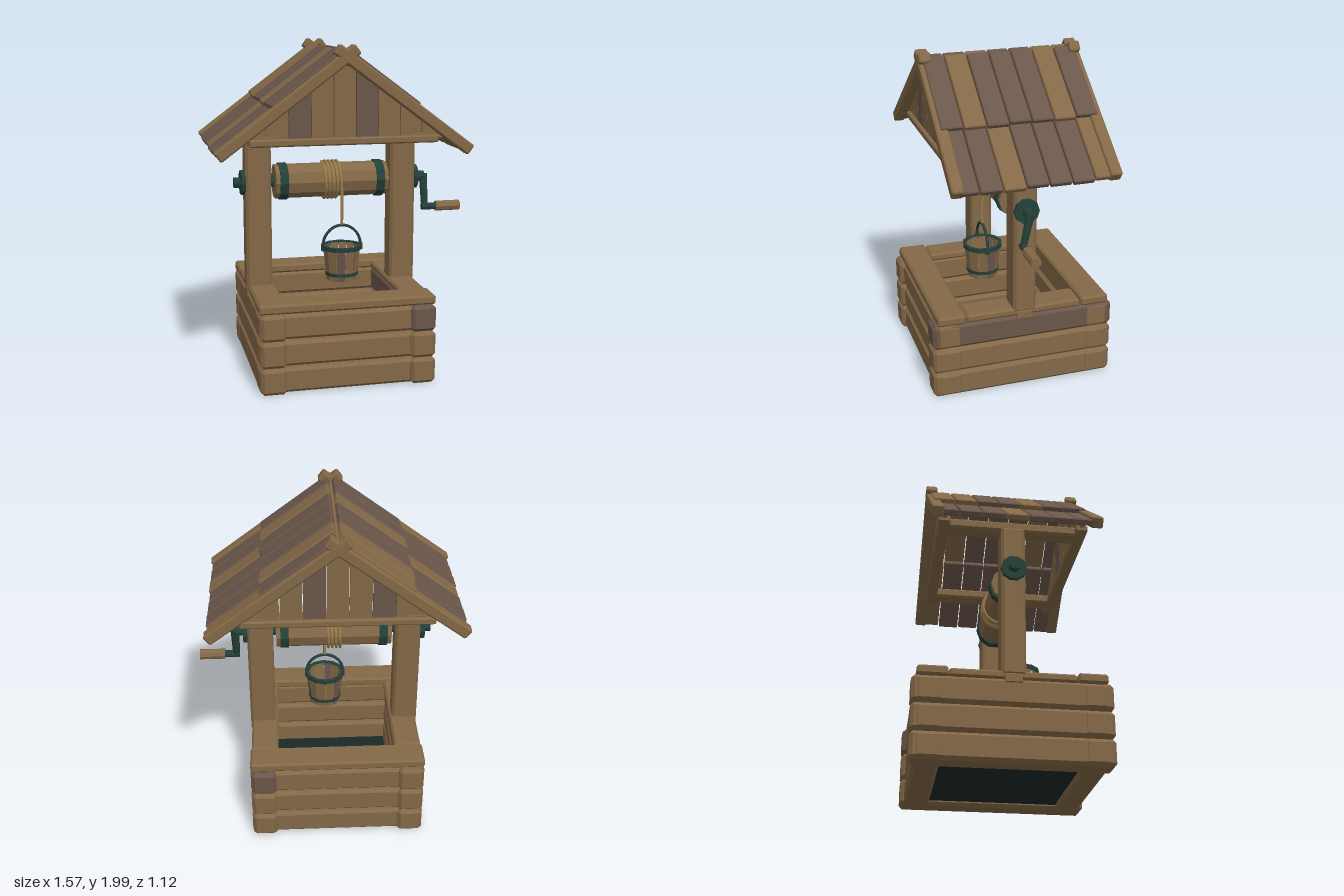
import * as THREE from 'three';
import { ConvexGeometry } from 'three/addons/geometries/ConvexGeometry.js';

const mat = (name, color, extra = {}) => {
  const m = new THREE.MeshStandardMaterial({ color, flatShading: true, ...extra });
  m.name = name;
  return m;
};

export function createModel() {
  const wood = mat('wood', 0x836846);
  const darkWood = mat('darkWood', 0x6a564a);
  const iron = mat('iron', 0x24403a);
  const rope = mat('rope', 0x9a7b4c);
  const water = mat('water', 0x1a2826, { side: THREE.DoubleSide });

  const model = new THREE.Group();
  model.name = 'well';
  const well = new THREE.Group();
  well.name = 'wellBody';
  well.position.x = -0.04;
  model.add(well);

  const add = (parent, name, geo, material, pos = [0, 0, 0]) => {
    const m = new THREE.Mesh(geo, material);
    m.name = name;
    m.position.set(...pos);
    parent.add(m);
    return m;
  };

  // Beam with bevelled edges, given by its ranges on x, y and z
  const beam = (parent, name, [x0, x1], [y0, y1], [z0, z1], material = wood, c = 0.012) => {
    const h = [(x1 - x0) / 2, (y1 - y0) / 2, (z1 - z0) / 2];
    const pts = [];
    for (const sx of [-1, 1]) for (const sy of [-1, 1]) for (const sz of [-1, 1])
      for (let k = 0; k < 3; k++) {
        const s = [sx, sy, sz];
        pts.push(new THREE.Vector3(...h.map((v, i) => s[i] * (i === k ? v : v - c))));
      }
    return add(parent, name, new ConvexGeometry(pts), material,
      [(x0 + x1) / 2, (y0 + y1) / 2, (z0 + z1) / 2]);
  };

  // Cylinder lying along x
  const rod = (parent, name, x0, x1, r, sides, material, y, z = 0) => {
    const g = new THREE.CylinderGeometry(r, r, x1 - x0, sides);
    g.rotateX(0).rotateZ(-Math.PI / 2);
    return add(parent, name, g, material, [(x0 + x1) / 2, y, z]);
  };

  // Log walls, three courses
  for (let i = 0; i < 3; i++) {
    const y = [i * 0.16 + 0.003, i * 0.16 + 0.16];
    for (const s of [-1, 1]) {
      const zr = s > 0 ? [0.385, 0.535] : [-0.535, -0.385];
      const xr = s > 0 ? [0.37, 0.521] : [-0.521, -0.37];
      beam(well, 'frontBackLog', [-0.525, 0.525], [y[0] + 0.004, y[1] - 0.006], zr, wood, 0.018);
      beam(well, 'sideLog', xr, y, [-0.56, 0.56], i === 2 && s > 0 ? darkWood : wood, 0.02);
    }
  }
  const pool = new THREE.PlaneGeometry(0.78, 0.8).rotateX(-Math.PI / 2);
  add(well, 'water', pool, water, [0, 0.03, 0]);

  // Rim planks, posts and the ties above them
  for (const s of [-1, 1]) {
    const span = (a, b) => (s > 0 ? [a, b] : [-b, -a]);
    beam(well, 'rimPlank', [-0.525, 0.525], [0.478, 0.535], span(0.36, 0.532));
    beam(well, 'sideRimPlank', span(0.355, 0.518), [0.478, 0.527], [-0.356, 0.356]);
    beam(well, 'post', span(0.37, 0.526), [0.5, 1.435], [-0.07, 0.07], wood, 0.016);
    beam(well, 'postFoot', span(0.38, 0.526), [0.455, 0.51], [-0.05, 0.05], wood, 0.005);
    beam(well, 'tieBeam', span(0.39, 0.5), [1.425, 1.485], [-0.42, 0.42]);
    beam(well, 'gableSill', [-0.553, 0.553], [1.425, 1.468], span(0.37, 0.44), wood, 0.008);
  }

  // Gable boards cut to the roof line
  const roofLine = x => 1.905 - 0.743 * Math.abs(x);
  const cuts = [-0.58, -0.455, -0.325, -0.195, -0.065, 0.065, 0.195, 0.325, 0.455, 0.58];
  for (const s of [-1, 1]) {
    for (let i = 0; i < 9; i++) {
      const a = cuts[i] + 0.002, b = cuts[i + 1] - 0.002;
      const shape = new THREE.Shape();
      shape.moveTo(a, 1.45);
      shape.lineTo(b, 1.45);
      shape.lineTo(b, roofLine(b));
      if (a < 0 && b > 0) shape.lineTo(0, roofLine(0));
      shape.lineTo(a, roofLine(a));
      const g = new THREE.ExtrudeGeometry(shape, { depth: 0.025, bevelEnabled: false });
      add(well, 'gableBoard', g, i === 2 || i === 5 ? darkWood : wood, [0, 0, s * 0.405 - 0.0125]);
    }
  }

  // Roof slopes: two overlapping rows of planks and a barge board at each end
  // Letters run from the back to the front, d for dark and w for light
  const slopes = [
    { turn: 0, upper: 'dwdddwd', lower: 'wdddwdd'.replace('wddd', 'wddd') },
    { turn: Math.PI, upper: 'wwddwdd', lower: 'dddwddd' },
  ];
  slopes.forEach(({ turn, upper, lower }, side) => {
    const half = new THREE.Group();
    half.name = side ? 'leftRoof' : 'rightRoof';
    half.rotation.y = turn;
    well.add(half);
    const slope = new THREE.Group();
    slope.name = 'roofSlope';
    slope.position.y = 1.966;
    slope.rotation.z = -0.639;
    half.add(slope);
    for (let i = 0; i < 7; i++) {
      const z = (i - 3) * 0.133 * (side ? -1 : 1);
      const zr = [z - 0.063, z + 0.063];
      const shift = ((i * 5) % 7 - 3) * 0.002;
      const tone = c => (c === 'd' ? darkWood : wood);
      beam(slope, 'upperRoofPlank', [0.02, 0.535 + shift], [-0.022, 0.012], zr, tone(upper[i]), 0.006);
      beam(slope, 'lowerRoofPlank', [0.46, 0.942 + shift], [-0.055, -0.018], zr, tone(lower[i]), 0.006);
    }
    const w = side ? 0.001 : 0;
    for (const zr of [[0.42 + w, 0.49 - w], [-0.49 + w, -0.42 - w]])
      beam(slope, 'bargeBoard', [-0.05, 0.94], [-0.066, 0], zr, wood, 0.008);
  });
  beam(well, 'ridgeBeam', [-0.03, 0.03], [1.87, 1.935], [-0.45, 0.45]);

  // Winding drum, axle and flanges
  const axisY = 1.155;
  rod(well, 'drum', -0.345, 0.35, 0.105, 10, wood, axisY);
  rod(well, 'axle', -0.59, 0.6, 0.032, 10, iron, axisY);
  for (const [a, b] of [[-0.32, -0.27], [0.275, 0.325]])
    rod(well, 'drumBand', a, b, 0.114, 10, iron, axisY);
  for (const s of [-1, 1])
    rod(well, 'axleFlange', s * 0.537 - 0.013, s * 0.537 + 0.013, 0.075, 10, iron, axisY);

  // Crank
  const arm = new THREE.CylinderGeometry(0.021, 0.027, 0.215, 8);
  const crankArm = add(well, 'crankArm', arm, iron, [0.6, 1.062, 0.02]);
  crankArm.rotation.x = Math.PI - 0.2;
  rod(well, 'crankPin', 0.58, 0.68, 0.022, 8, iron, 0.966, 0.04);
  rod(well, 'crankHandle', 0.67, 0.825, 0.032, 8, wood, 0.966, 0.04);

  // Rope wound on the drum, then hanging to the bucket
  const coil = [], turns = 4.25;
  for (let i = 0; i <= 68; i++) {
    const a = (i / 68) * turns * Math.PI * 2;
    coil.push(new THREE.Vector3(-0.05 + 0.1 * i / 68, axisY + 0.113 * Math.cos(a), 0.113 * Math.sin(a)));
  }
  coil.push(new THREE.Vector3(0.052, 1.08, 0.115), new THREE.Vector3(0.05, 0.98, 0.123),
    new THREE.Vector3(0.05, 0.89, 0.12));
  add(well, 'rope', new THREE.TubeGeometry(new THREE.CatmullRomCurve3(coil), 220, 0.009, 6), rope);

  // Bucket: staves, floor, hoops and bail
  const bucket = new THREE.Group();
  bucket.name = 'bucket';
  bucket.position.set(0.05, 0.555, 0.12);
  well.add(bucket);
  const profile = pts => pts.map(p => new THREE.Vector2(...p));
  const stave = profile([[0.078, 0], [0.094, 0], [0.117, 0.205], [0.099, 0.205], [0.078, 0]]);
  const staves = 12, step = Math.PI * 2 / staves;
  for (let i = 0; i < staves; i++)
    add(bucket, 'stave', new THREE.LatheGeometry(stave, 1, i * step + 0.02, step - 0.04),
      i % 4 === 3 ? darkWood : wood);
  add(bucket, 'bucketFloor', new THREE.CylinderGeometry(0.084, 0.082, 0.02, 12), wood, [0, 0.025, 0]);
  const hoop = (name, y, h, r) => add(bucket, name, new THREE.LatheGeometry(profile([
    [r - 0.02, y], [r, y], [r + 0.002, y + h], [r - 0.018, y + h], [r - 0.02, y]]), 12), iron);
  hoop('topHoop', 0.188, 0.026, 0.121);
  hoop('lowerHoop', 0.03, 0.02, 0.102);
  const bail = [];
  for (let i = 0; i <= 12; i++) {
    const a = Math.PI * i / 12;
    bail.push(new THREE.Vector3(0.118 * Math.cos(a), 0.205 + 0.13 * Math.sin(a), 0));
  }
  add(bucket, 'bail', new THREE.TubeGeometry(new THREE.CatmullRomCurve3(bail), 24, 0.009, 6), iron);
  for (const s of [-1, 1])
    add(bucket, 'bailEar', new THREE.BoxGeometry(0.014, 0.04, 0.03), iron, [s * 0.12, 0.2, 0]);

  return model;
}
